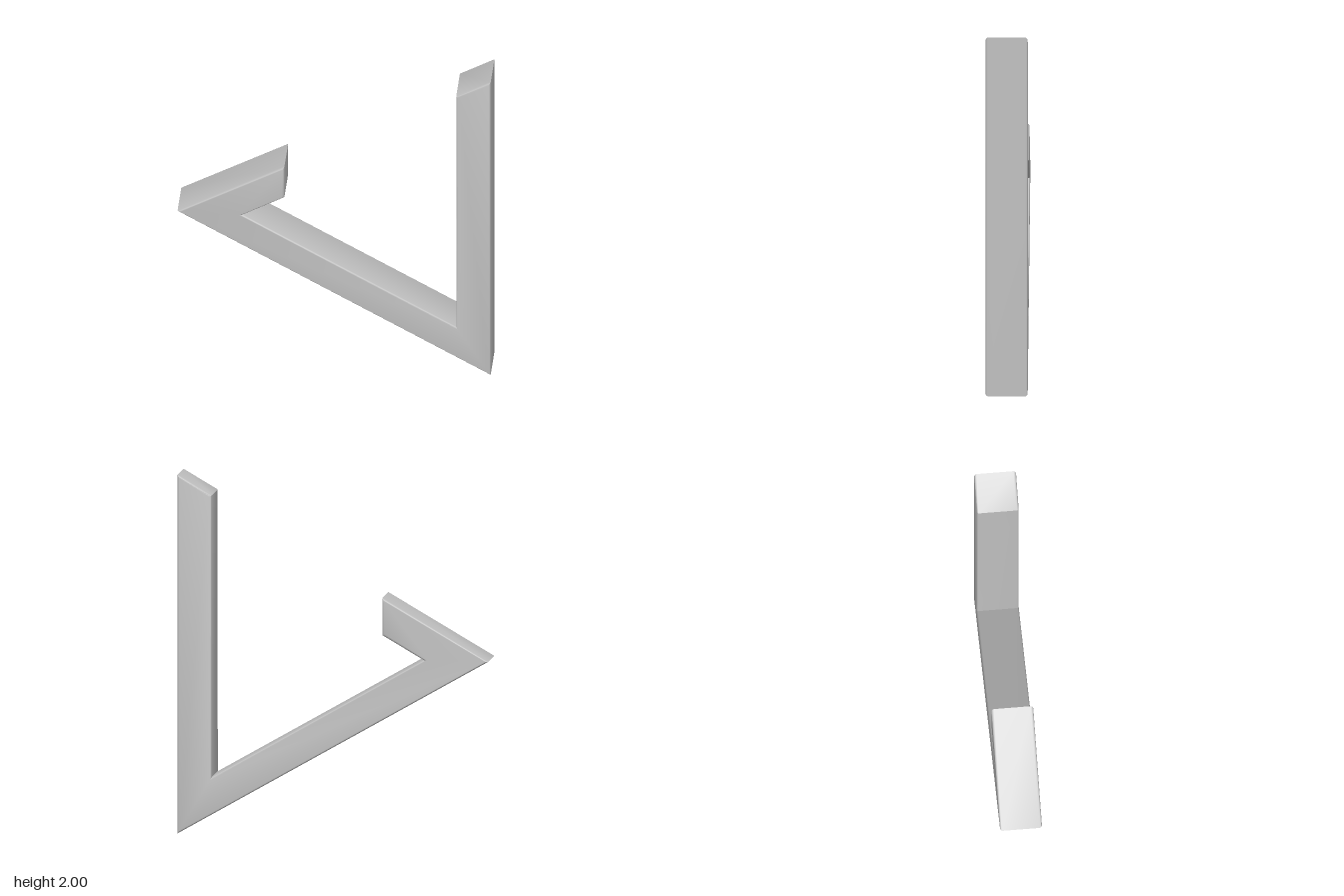
import * as THREE from 'three';
import { toCreasedNormals } from 'three/addons/utils/BufferGeometryUtils.js';

const HALF_WIDTH = 0.866; // outline fits a hexagon grid of 30 degree slopes
const HALF_DEPTH = 0.116;
const BEVEL = 0.014;
const SLOPE = Math.tan(Math.PI / 6);

export function createModel() {
  const group = new THREE.Group();
  group.name = 'angularBand';

  const lightGrey = new THREE.MeshStandardMaterial({ color: 0xc0c0c0 });
  lightGrey.name = 'light grey';

  // One continuous bent bar: tall post, sloping beam, short returning arm
  const postInner = 0.675, armEnd = -0.275, elbowInner = -0.505;
  const outline = [
    [HALF_WIDTH, 2],
    [postInner, 2 - (HALF_WIDTH - postInner) * SLOPE],
    [postInner, 1 - (postInner - elbowInner) * SLOPE],
    [elbowInner, 1],
    [armEnd, 1 + (armEnd - elbowInner) * SLOPE],
    [armEnd, 1 + (armEnd + HALF_WIDTH) * SLOPE],
    [-HALF_WIDTH, 1],
    [HALF_WIDTH, 0],
  ].map(([x, y]) => new THREE.Vector2(x, y));

  // Softly rounded front and back edges, sharp outline corners
  const depth = 2 * (HALF_DEPTH - BEVEL);
  const extruded = new THREE.ExtrudeGeometry(new THREE.Shape(outline), {
    depth,
    bevelThickness: BEVEL,
    bevelSize: BEVEL,
    bevelOffset: -BEVEL,
    bevelSegments: 4,
  });
  extruded.translate(0, 0, -depth / 2);

  const bar = new THREE.Mesh(toCreasedNormals(extruded, 0.6), lightGrey);
  bar.name = 'bentBar';
  group.add(bar);
  return group;
}
